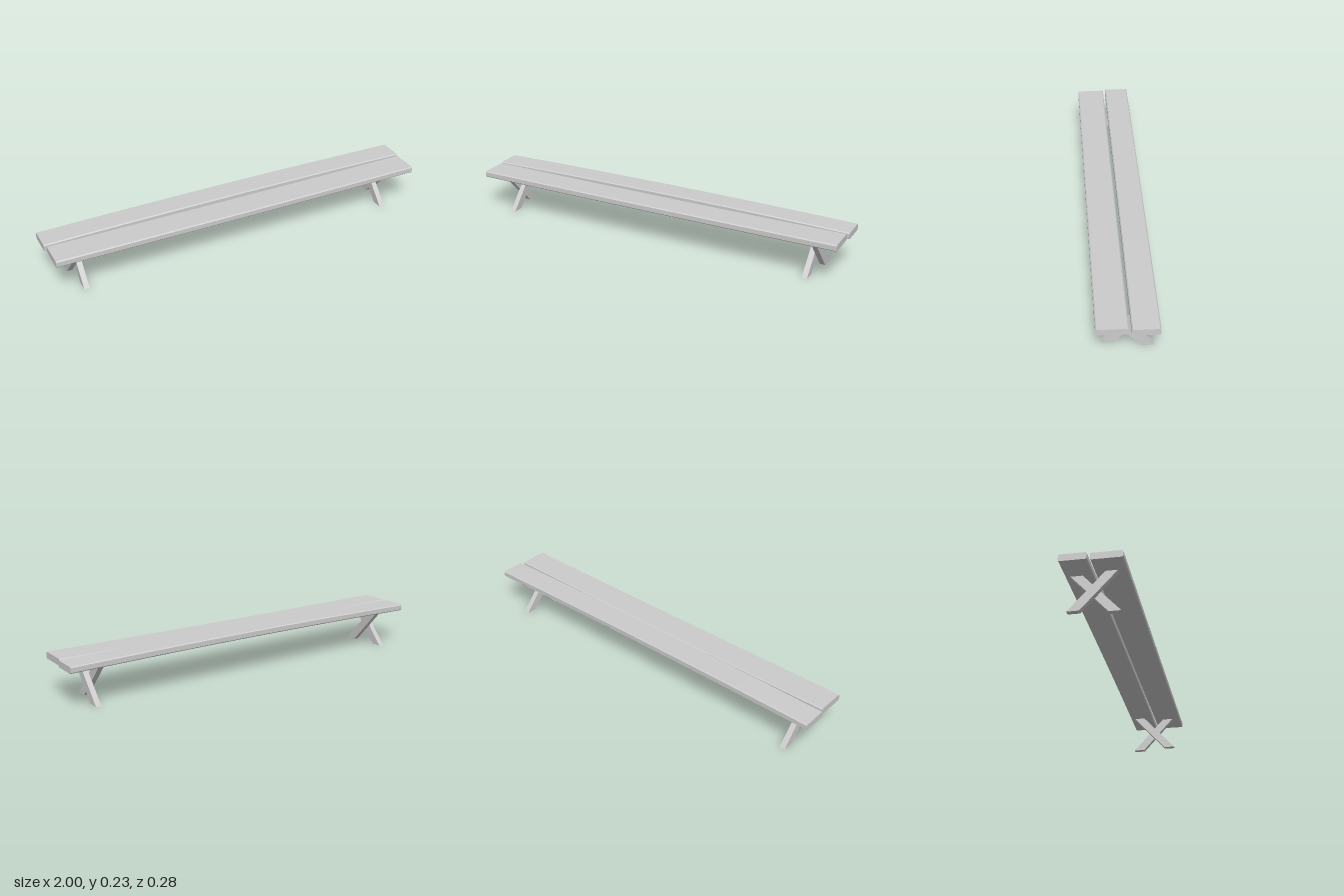
import * as THREE from 'three';

const material = new THREE.MeshStandardMaterial({ color: 0xcccccc, flatShading: true });

// Extrude a (z, y) outline along x, centred on x = 0
function extrudeAlongX(points, length, steps = 1) {
  const shape = new THREE.Shape(points.map(([z, y]) => new THREE.Vector2(-z, y)));
  const geometry = new THREE.ExtrudeGeometry(shape, { depth: length, steps, bevelEnabled: false });
  geometry.translate(0, 0, -length / 2);
  geometry.rotateY(Math.PI / 2);
  return geometry;
}

// Long board with chamfered edges, bowed up or down towards its middle
function plank(name, zBack, zFront, yBottom, yTop, length, bow) {
  const c = 0.005;
  const geometry = extrudeAlongX([
    [zBack + c, yBottom], [zFront - c, yBottom], [zFront, yBottom + c], [zFront, yTop - c],
    [zFront - c, yTop], [zBack + c, yTop], [zBack, yTop - c], [zBack, yBottom + c],
  ], length, 10);
  const p = geometry.attributes.position;
  for (let i = 0; i < p.count; i++) {
    const t = p.getX(i) / (length / 2);
    p.setY(i, p.getY(i) + bow * (1 - t * t));
  }
  geometry.computeVertexNormals();
  const mesh = new THREE.Mesh(geometry, material);
  mesh.name = name;
  return mesh;
}

// Slanted leg board, cut level at floor and seat
function leg(name, x, width, bottom, top) {
  const height = 0.19;
  const geometry = extrudeAlongX([
    [bottom - 0.028, 0], [bottom + 0.028, 0], [top + 0.028, height], [top - 0.028, height],
  ], width);
  const mesh = new THREE.Mesh(geometry, material);
  mesh.position.x = x;
  mesh.name = name;
  return mesh;
}

export function createModel() {
  const bench = new THREE.Group();
  bench.name = 'bench';

  // Seat boards
  bench.add(plank('frontSeatPlank', -0.002, 0.143, 0.186, 0.219, 1.98, -0.003));
  bench.add(plank('backSeatPlank', -0.141, -0.014, 0.186, 0.219, 2, 0.009));

  // Crossed legs, two boards side by side at each end
  for (const [side, label] of [[1, 'left'], [-1, 'right']]) {
    const trestle = new THREE.Group();
    trestle.name = label + 'Trestle';
    const seam = side > 0 ? 0.849 : -0.861;
    trestle.add(leg('outerLeg', seam + side * 0.0135, 0.027, -0.097, 0.077));
    trestle.add(leg('innerLeg', seam - side * 0.0135, 0.027, 0.083, -0.092));
    bench.add(trestle);
  }
  return bench;
}
